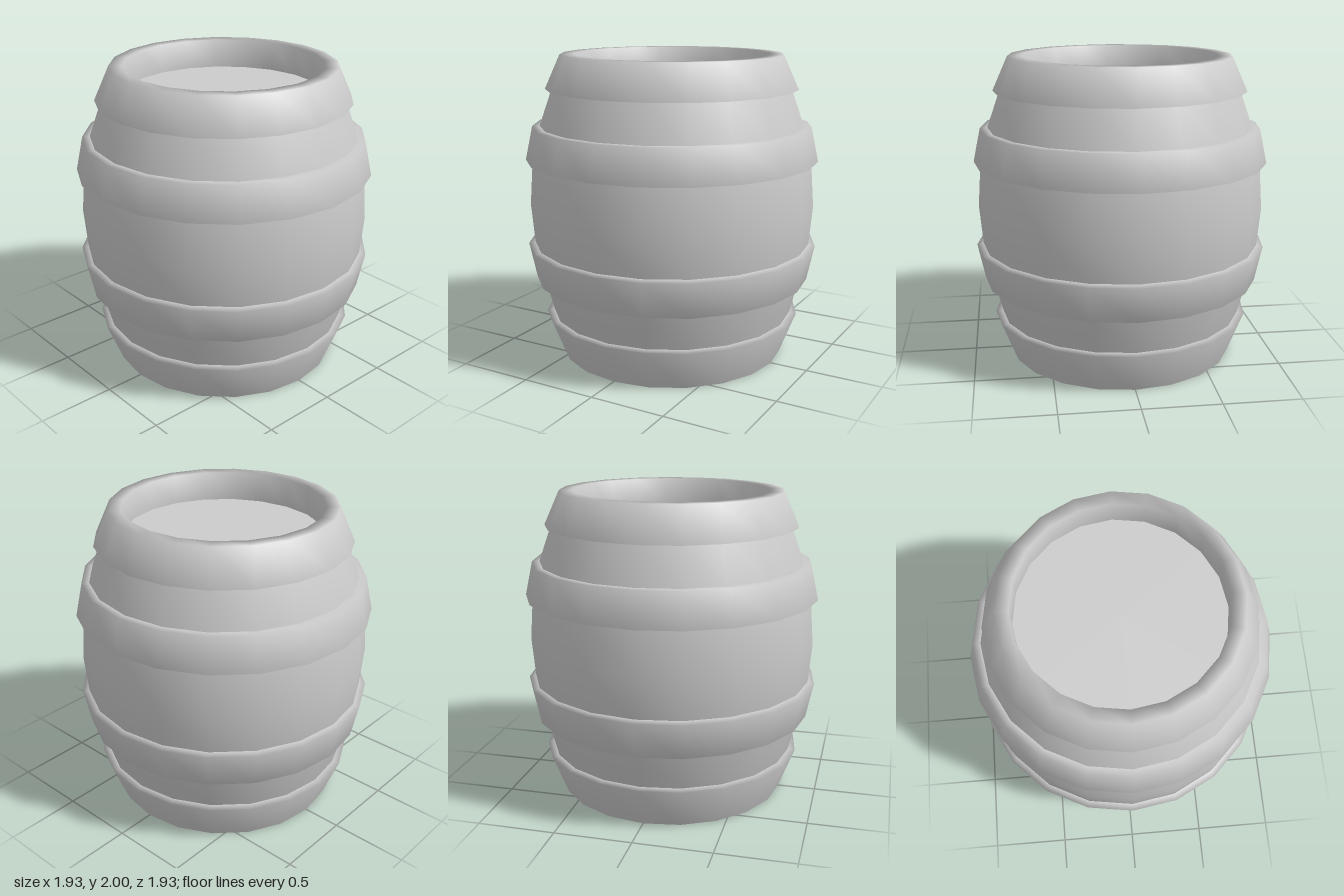
import * as THREE from 'three';
import { mergeVertices } from 'three/addons/utils/BufferGeometryUtils.js';

const SIDES = 20;
const material = new THREE.MeshStandardMaterial({ color: 0xcccccc });

// Revolves a [radius, height] profile, smoothed with area-weighted normals
function revolve(name, profile) {
  const lathe = new THREE.LatheGeometry(profile.map(([r, y]) => new THREE.Vector2(r, y)), SIDES);
  lathe.deleteAttribute('normal');
  lathe.deleteAttribute('uv');
  const geometry = mergeVertices(lathe, 1e-4);
  geometry.computeVertexNormals();
  const mesh = new THREE.Mesh(geometry, material);
  mesh.name = name;
  return mesh;
}

// Flat round head closing an end of the barrel
function head(name, radius, y, facing) {
  const mesh = new THREE.Mesh(new THREE.CircleGeometry(radius, SIDES), material);
  mesh.name = name;
  mesh.rotation.x = -facing * Math.PI / 2;
  mesh.position.y = y;
  return mesh;
}

export function createModel() {
  const barrel = new THREE.Group();
  barrel.name = 'barrel';

  // Bulging stave wall
  barrel.add(revolve('staves', [
    [0.72, 0.05], [0.805, 0.27], [0.87, 0.52], [0.92, 0.76], [0.942, 1.02],
    [0.92, 1.31], [0.867, 1.54], [0.782, 1.78], [0.7, 1.95],
  ]));

  // Hoops, each flaring towards the middle of the barrel
  barrel.add(revolve('bottomHoop', [[0.75, 0], [0.855, 0.27], [0.8, 0.278]]));
  barrel.add(revolve('lowerHoop', [[0.865, 0.52], [0.915, 0.52], [0.963, 0.752], [0.915, 0.765]]));
  barrel.add(revolve('upperHoop', [[0.915, 1.31], [0.963, 1.32], [0.915, 1.54], [0.862, 1.542]]));

  // Top hoop rolls over the rim and down to the recessed lid
  barrel.add(revolve('topHoopAndRim', [
    [0.775, 1.785], [0.825, 1.78], [0.725, 2], [0.64, 2], [0.64, 1.81],
  ]));
  barrel.add(head('lid', 0.64, 1.81, 1));

  // Underside: flat ring, shallow step and base
  barrel.add(revolve('baseRing', [[0.655, 0], [0.75, 0]]));
  barrel.add(revolve('baseStep', [[0.655, 0.02], [0.655, 0]]));
  barrel.add(head('base', 0.655, 0.02, -1));

  return barrel;
}
